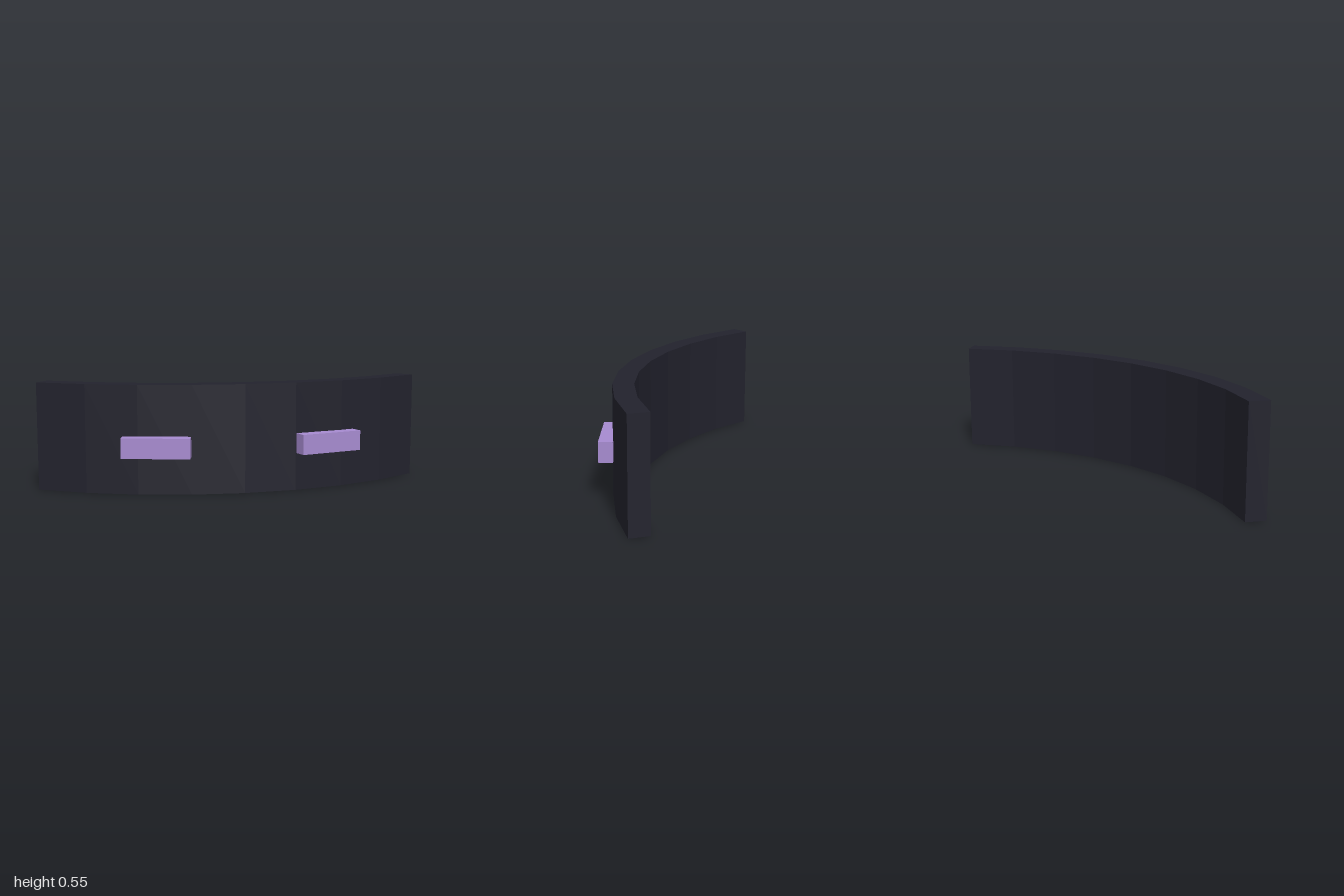
import * as THREE from 'three';

export function createModel() {
  const group = new THREE.Group();
  const darkPanel = new THREE.MeshStandardMaterial({ color: 0x22222d });
  const lilac = new THREE.MeshStandardMaterial({ color: 0xa78bd0 });
  darkPanel.name = 'darkPanel';
  lilac.name = 'lilac';

  // Curved wall: faceted arc outline, extruded upwards
  const segments = 8, halfAngle = THREE.MathUtils.degToRad(34.45);
  const outerR = 1.768, innerR = 1.667, centreZ = -1.595, height = 0.545;
  const arcPoint = (r, i) => {
    const a = halfAngle * (2 * i / segments - 1);
    return new THREE.Vector2(r * Math.sin(a), -(centreZ + r * Math.cos(a)));
  };
  const outline = [];
  for (let i = 0; i <= segments; i++) outline.push(arcPoint(outerR, i));
  for (let i = segments; i >= 0; i--) outline.push(arcPoint(innerR, i));
  const wallGeometry = new THREE.ExtrudeGeometry(new THREE.Shape(outline), {
    depth: height, bevelEnabled: false,
  });
  wallGeometry.rotateX(-Math.PI / 2);
  const wall = new THREE.Mesh(wallGeometry, darkPanel);
  wall.name = 'curvedWall';
  group.add(wall);

  // Two bars on the front, each turned to follow the curve
  for (const side of [-1, 1]) {
    const bar = new THREE.Mesh(new THREE.BoxGeometry(0.338, 0.101, 0.068), lilac);
    bar.name = side > 0 ? 'leftBar' : 'rightBar';
    bar.position.set(side * 0.44, 0.24, 0.146);
    bar.rotation.y = side * THREE.MathUtils.degToRad(15);
    group.add(bar);
  }
  return group;
}
